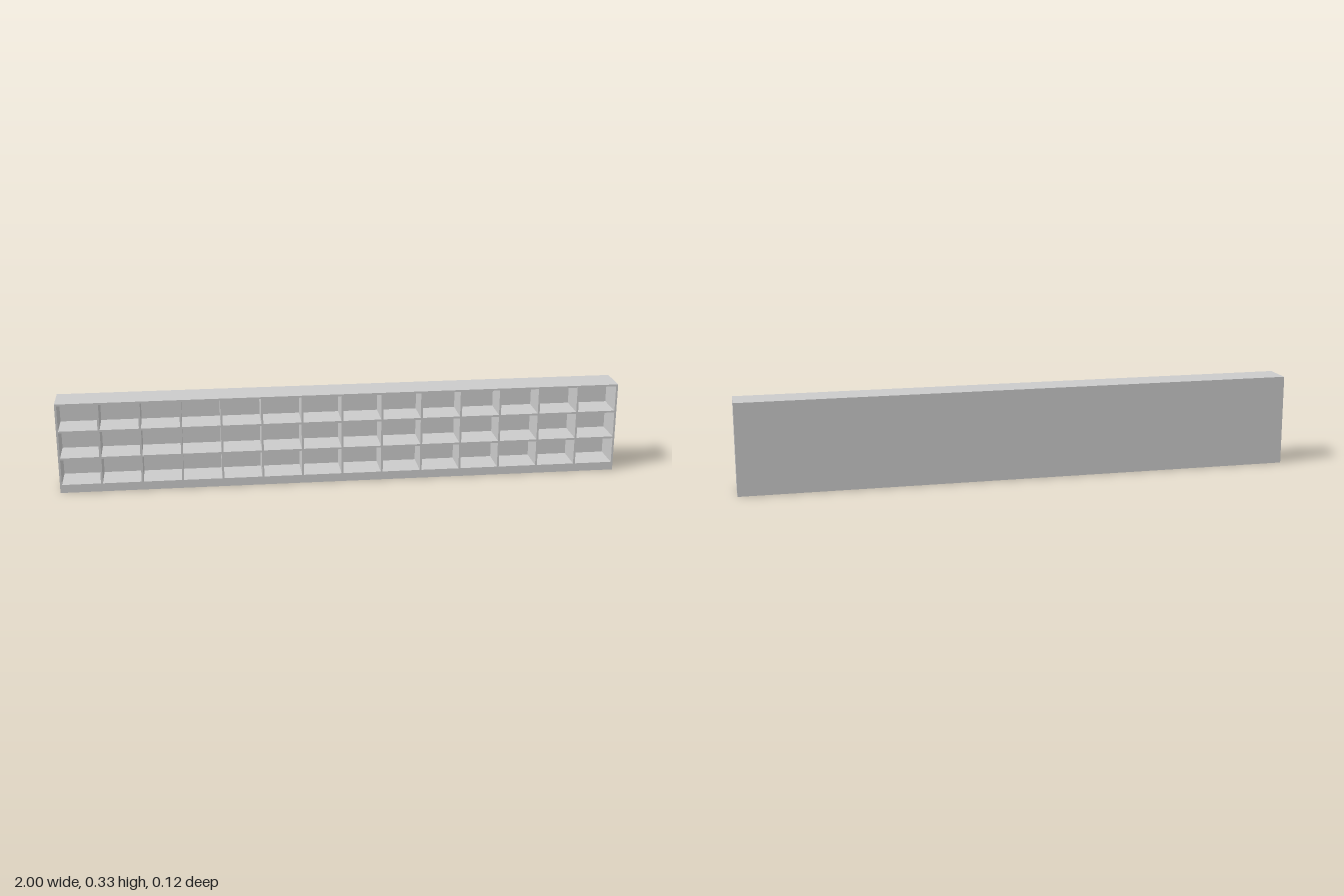
import * as THREE from 'three';

export function createModel() {
  const group = new THREE.Group();
  const material = new THREE.MeshStandardMaterial({ color: 0xcccccc, flatShading: true });
  const width = 2, height = 0.328, depth = 0.117;
  const board = 0.007, plinthHeight = 0.03;
  const columns = 14, rows = 3;

  // Adds a box centred on x and z, standing on y
  function addBox(name, w, h, d, x, y, z) {
    const mesh = new THREE.Mesh(new THREE.BoxGeometry(w, h, d), material);
    mesh.name = name;
    mesh.position.set(x, y + h / 2, z);
    group.add(mesh);
  }

  // Outer case
  const innerWidth = width - 2 * board;
  const innerHeight = height - plinthHeight - board;
  const innerDepth = depth - board;
  const innerZ = board / 2;
  addBox('plinth', innerWidth, plinthHeight, innerDepth, 0, 0, innerZ);
  addBox('topBoard', innerWidth, board, innerDepth, 0, height - board, innerZ);
  addBox('backPanel', innerWidth, height, board, 0, 0, -depth / 2 + board / 2);
  for (const side of [-1, 1]) {
    addBox(side > 0 ? 'leftSide' : 'rightSide', board, height, depth, side * (width - board) / 2, 0, 0);
  }

  // Upright dividers between the columns
  const columnStep = (width - board) / columns;
  for (let i = 1; i < columns; i++) {
    addBox('divider' + i, board, innerHeight, innerDepth, (i - columns / 2) * columnStep, plinthHeight, innerZ);
  }

  // Shelves, one length per column
  const rowStep = (innerHeight + board) / rows;
  for (let r = 1; r < rows; r++) {
    for (let i = 0; i < columns; i++) {
      const x = (i + 0.5 - columns / 2) * columnStep;
      addBox('shelf' + r + '_' + (i + 1), columnStep - board, board, innerDepth, x, plinthHeight + r * rowStep - board, innerZ);
    }
  }
  return group;
}
